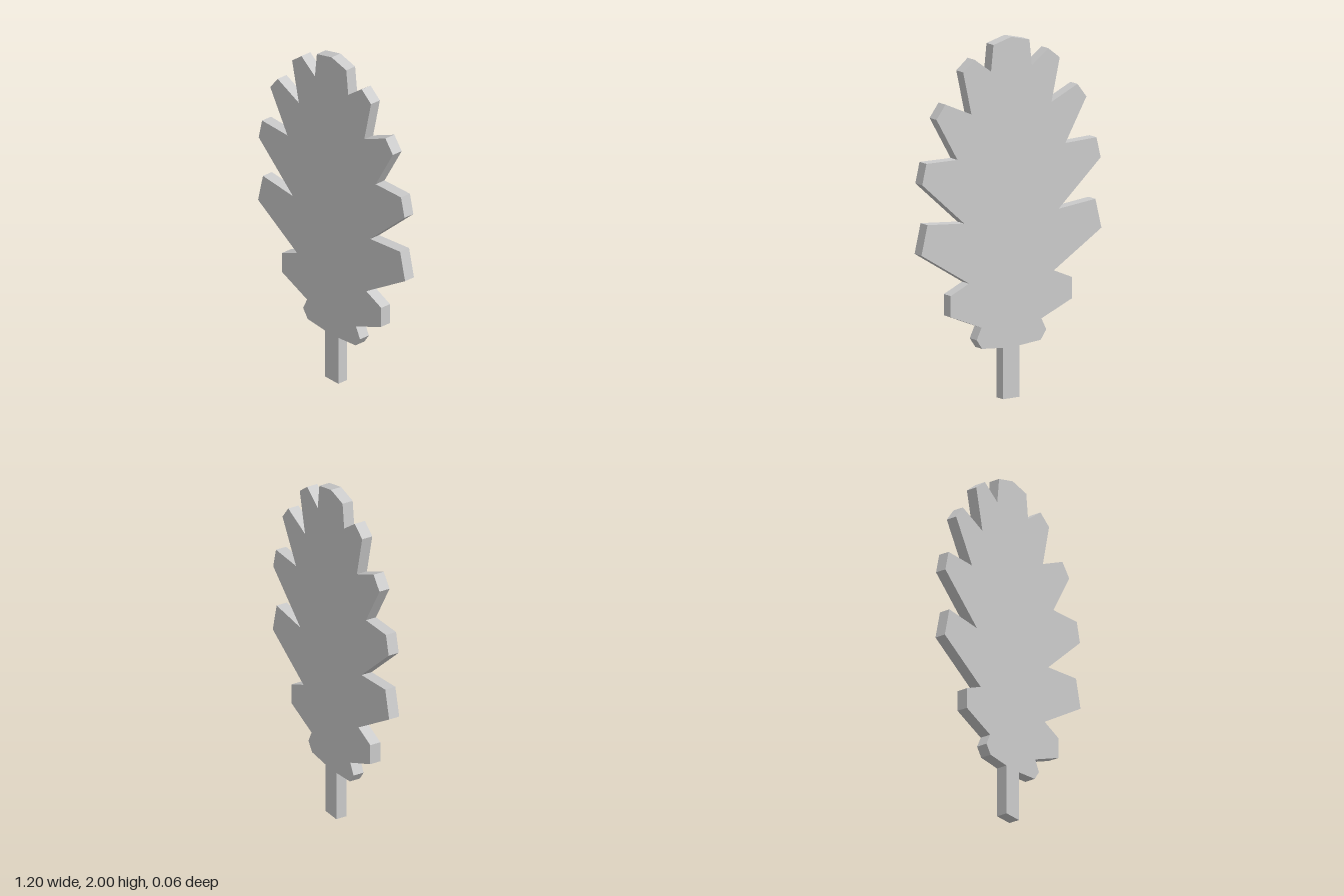
import * as THREE from 'three';

const THICKNESS = 0.064;

// Right half of the leaf outline, from the stem foot up to the tip
const HALF = [
  [0.055, 0], [0.055, 0.285],                              // stem
  [0.195, 0.297], [0.232, 0.35], [0.2, 0.415],             // base lobe
  [0.405, 0.5], [0.405, 0.617], [0.283, 0.67],             // lower lobe
  [0.6, 0.865], [0.56, 1.03], [0.315, 1.007],              // wide lobe
  [0.595, 1.255], [0.567, 1.37], [0.36, 1.365],            // middle lobe
  [0.5, 1.605], [0.44, 1.682], [0.267, 1.605],             // upper lobe
  [0.322, 1.845], [0.246, 1.905], [0.136, 1.825],          // top lobe
  [0.12, 1.97],                                            // crown
];

export function createModel() {
  const group = new THREE.Group();
  group.name = 'oakLeaf';

  // Mirror the half outline around the tip
  const mirrored = HALF.map(([x, y]) => [-x, y]).reverse();
  const outline = [...HALF, [0, 2], ...mirrored].map(([x, y]) => new THREE.Vector2(x, y));

  // Flat blade and stem in one plate
  const geometry = new THREE.ExtrudeGeometry(new THREE.Shape(outline), {
    depth: THICKNESS,
    bevelEnabled: false,
  });
  geometry.translate(0, 0, -THICKNESS / 2);

  const leaf = new THREE.Mesh(
    geometry,
    new THREE.MeshStandardMaterial({ color: 0xcccccc, flatShading: true }),
  );
  leaf.name = 'leafBladeAndStem';
  group.add(leaf);
  return group;
}
